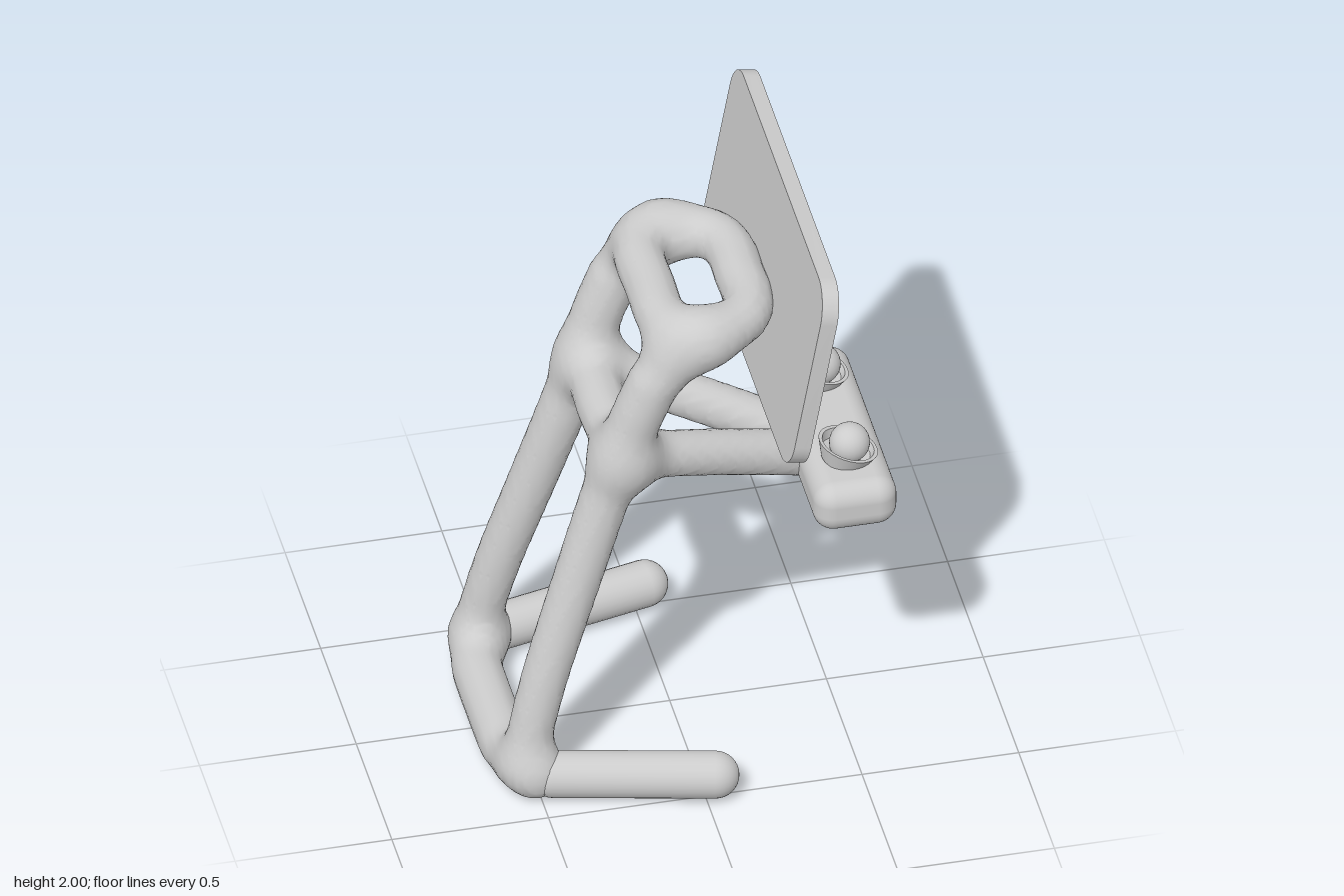
import * as THREE from 'three';
import { toCreasedNormals } from 'three/addons/utils/BufferGeometryUtils.js';
import { RoundedBoxGeometry } from 'three/addons/geometries/RoundedBoxGeometry.js';

const grey = new THREE.MeshStandardMaterial({ color: 0xcccccc });
const V = (x, y, z) => new THREE.Vector3(x, y, z);

function add(parent, name, geometry, x = 0, y = 0, z = 0) {
  const mesh = new THREE.Mesh(geometry, grey);
  mesh.name = name;
  mesh.position.set(x, y, z);
  parent.add(mesh);
  return mesh;
}

// A curved bar, sampled as a chain of segments; radius runs from r0 to r1
function bar(r0, r1, ...points) {
  const n = 16;
  const path = new THREE.CatmullRomCurve3(points.map((p) => V(...p)));
  return path.getSpacedPoints(n).map((p, i) => ({ p, r: r0 + (r1 - r0) * i / n }));
}

function barDistance(chain, x, y, z) {
  let best = Infinity;
  for (let i = 1; i < chain.length; i++) {
    const a = chain[i - 1], b = chain[i];
    const dx = b.p.x - a.p.x, dy = b.p.y - a.p.y, dz = b.p.z - a.p.z;
    const px = x - a.p.x, py = y - a.p.y, pz = z - a.p.z;
    const t = Math.min(1, Math.max(0, (px * dx + py * dy + pz * dz) / (dx * dx + dy * dy + dz * dz)));
    const d = Math.hypot(px - t * dx, py - t * dy, pz - t * dz) - a.r - (b.r - a.r) * t;
    if (d < best) best = d;
  }
  return best;
}

// Union of two distances with a fillet of size k
function blend(a, b, k) {
  const h = Math.max(k - Math.abs(a - b), 0) / k;
  return Math.min(a, b) - h * h * k / 4;
}

// Smooth skin over the zero level of a distance field
function skin(field, min, max, step) {
  const n = min.map((m, i) => Math.ceil((max[i] - m) / step) + 1);
  const stride = [1, n[0], n[0] * n[1]];
  const value = new Float32Array(n[0] * n[1] * n[2]);
  const each = (start, end, fn) => {
    for (let k = start; k < n[2] - end; k++)
      for (let j = start; j < n[1] - end; j++)
        for (let i = start; i < n[0] - end; i++) fn([i, j, k], i + j * stride[1] + k * stride[2]);
  };
  each(0, 0, (c, id) => { value[id] = field(...c.map((v, a) => min[a] + v * step)); });

  // One vertex per crossed cell, at the mean of its edge crossings
  const vertex = new Int32Array(value.length).fill(-1);
  const positions = [], index = [];
  each(0, 1, (c, id) => {
    const sum = [0, 0, 0];
    let count = 0;
    for (let a = 0; a < 3; a++) {
      const b = (a + 1) % 3, d = (a + 2) % 3;
      for (let e = 0; e < 4; e++) {
        const u = e & 1, w = e >> 1;
        const from = id + u * stride[b] + w * stride[d];
        const v0 = value[from], v1 = value[from + stride[a]];
        if ((v0 < 0) === (v1 < 0)) continue;
        sum[a] += v0 / (v0 - v1);
        sum[b] += u;
        sum[d] += w;
        count++;
      }
    }
    if (!count) return;
    vertex[id] = positions.length / 3;
    for (let a = 0; a < 3; a++) positions.push(min[a] + (c[a] + sum[a] / count) * step);
  });

  // One quad per crossed grid edge
  each(1, 1, (c, id) => {
    for (let a = 0; a < 3; a++) {
      const inside = value[id] < 0;
      if (inside === (value[id + stride[a]] < 0)) continue;
      const b = stride[(a + 1) % 3], d = stride[(a + 2) % 3];
      const q = [id - b - d, id - d, id, id - b].map((cell) => vertex[cell]);
      if (!inside) q.reverse();
      index.push(q[0], q[1], q[2], q[0], q[2], q[3]);
    }
  });
  const geometry = new THREE.BufferGeometry();
  geometry.setAttribute('position', new THREE.Float32BufferAttribute(positions, 3));
  geometry.setIndex(index);
  geometry.computeVertexNormals();
  return geometry;
}

// Half of the frame's bars (z >= 0); the field mirrors them
function frameGeometry() {
  const bars = [
    // leg and column
    bar(0.07, 0.084, [-0.545, 0.12, 0.345], [-0.48, 0.385, 0.32], [-0.37, 0.73, 0.288], [-0.25, 1.1, 0.262],
      [-0.17, 1.35, 0.275], [-0.085, 1.53, 0.28], [0.03, 1.62, 0.28]),
    // base bar
    bar(0.08, 0.08, [-0.572, 0.08, 0], [-0.572, 0.08, 0.1], [-0.565, 0.08, 0.22], [-0.505, 0.085, 0.365]),
    // crossbar
    bar(0.08, 0.08, [-0.215, 1.19, 0], [-0.21, 1.19, 0.12], [-0.2, 1.19, 0.27]),
    // arm
    bar(0.073, 0.073, [-0.18, 1.175, 0.235], [0.12, 1.065, 0.14], [0.42, 0.945, 0.05]),
    // top ring
    bar(0.079, 0.079, [-0.062, 1.64, 0], [-0.06, 1.64, 0.17], [-0.02, 1.64, 0.26], [0.08, 1.64, 0.275],
      [0.19, 1.64, 0.21], [0.222, 1.64, 0.12], [0.222, 1.64, 0]),
  ];
  const field = (x, y, z) => {
    const d = bars.reduce((sum, b) => blend(sum, barDistance(b, x, y, Math.abs(z)), 0.09), 1);
    return Math.max(d, 0.004 - y);
  };
  return skin(field, [-0.72, -0.05, -0.5], [0.55, 1.78, 0.5], 0.02);
}

function roundedRect(target, w, h, r) {
  const x = w / 2, y = h / 2, q = Math.PI / 2;
  target.absarc(x - r, y - r, r, 0, q);
  target.absarc(r - x, y - r, r, q, 2 * q);
  target.absarc(r - x, r - y, r, 2 * q, 3 * q);
  target.absarc(x - r, r - y, r, 3 * q, 4 * q);
  target.closePath();
  return target;
}

function extrude(shape, depth, z) {
  const g = new THREE.ExtrudeGeometry(shape, { depth, bevelEnabled: false, curveSegments: 10 });
  return toCreasedNormals(g.translate(0, 0, z).rotateY(Math.PI / 2), 0.6);
}

export function createModel() {
  const model = new THREE.Group();
  model.name = 'consoleStand';

  add(model, 'frame', frameGeometry());

  // Feet, splayed outward
  for (const side of [1, -1]) {
    const a = V(-0.46, 0.083, side * 0.385), b = V(0.032, 0.083, side * 0.5);
    const dir = b.clone().sub(a);
    const foot = add(model, side > 0 ? 'leftFoot' : 'rightFoot',
      new THREE.CapsuleGeometry(0.075, dir.length(), 8, 24));
    foot.position.copy(a).lerp(b, 0.5);
    foot.quaternion.setFromUnitVectors(V(0, 1, 0), dir.normalize());
  }

  // Tilted screen: panel with a raised rim
  const screen = new THREE.Group();
  screen.name = 'screen';
  screen.position.set(0.322, 1.655, 0);
  screen.rotation.z = -0.175;
  model.add(screen);
  add(screen, 'screenPanel', extrude(roundedRect(new THREE.Shape(), 1.27, 0.69, 0.11), 0.04, -0.027));
  const rim = roundedRect(new THREE.Shape(), 1.27, 0.69, 0.11);
  rim.holes.push(roundedRect(new THREE.Path(), 1.235, 0.655, 0.095));
  add(screen, 'screenRim', extrude(rim, 0.014, 0.013));

  // Control box with two sticks in tilted cups
  add(model, 'controlBox', new RoundedBoxGeometry(0.265, 0.17, 0.78, 5, 0.065), 0.515, 0.948, 0);
  const cupProfile = [[0, -0.06], [0.07, -0.06], [0.097, 0], [0.085, 0], [0.075, -0.03], [0, -0.03]]
    .map(([r, y]) => new THREE.Vector2(r, y));
  for (const side of [1, -1]) {
    const name = side > 0 ? 'left' : 'right';
    const cup = add(model, name + 'StickCup',
      toCreasedNormals(new THREE.LatheGeometry(cupProfile, 32), 0.5), 0.523, 1.075, side * 0.205);
    cup.rotation.z = -0.31;
    add(model, name + 'StickBall', new THREE.SphereGeometry(0.064, 24, 16), 0.527, 1.083, side * 0.205);
  }
  return model;
}
